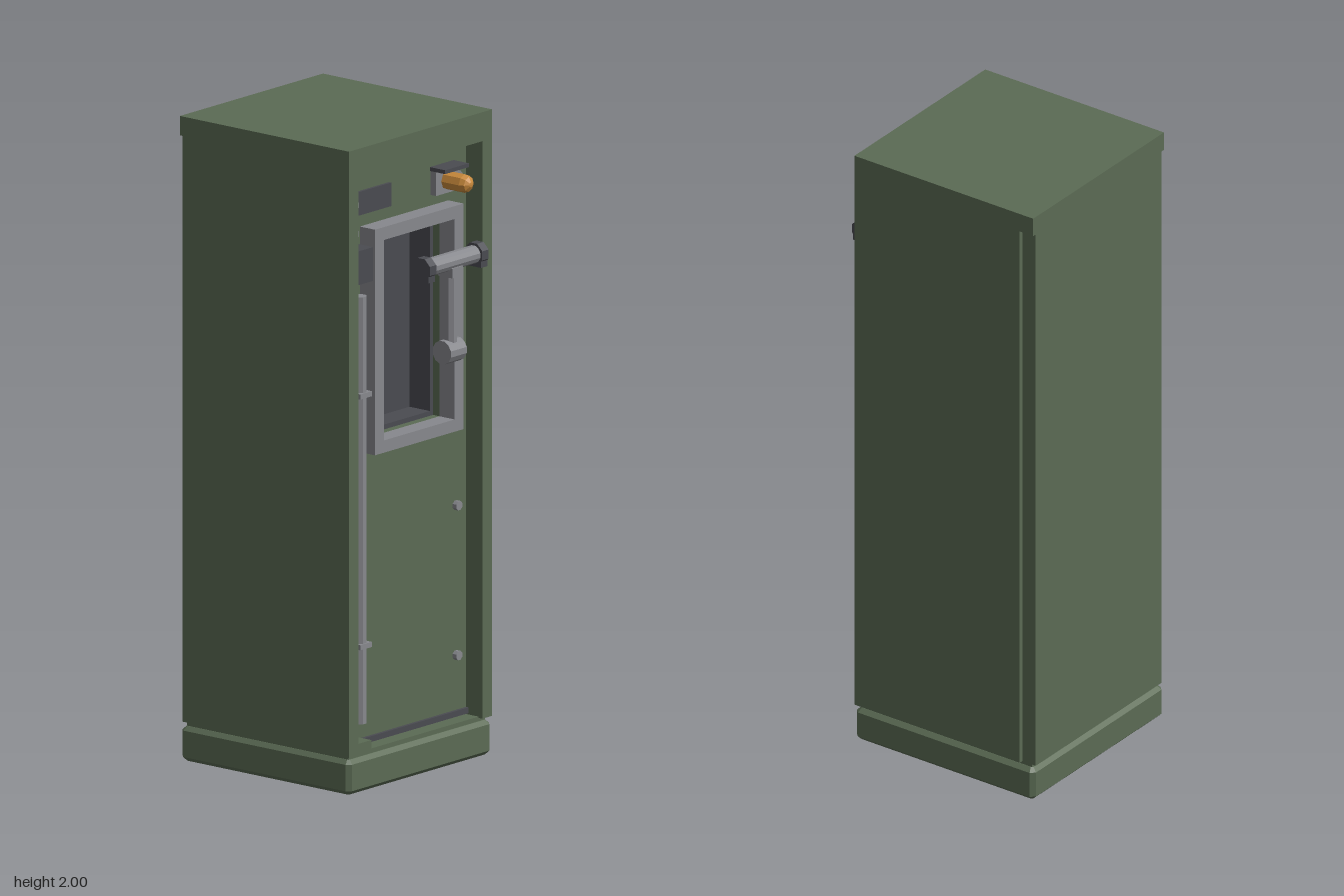
import * as THREE from 'three';

const mat = (name, color) => Object.assign(new THREE.MeshStandardMaterial({ color }), { name });

export function createModel() {
  const green = mat('cabinet green', 0x5b6b54);
  const steel = mat('light steel', 0x87888d);
  const dark = mat('dark grey', 0x4a4b51);
  const amber = mat('amber lamp', 0xc98a3c);

  const root = new THREE.Group();
  root.name = 'cabinet';

  const add = (name, geometry, material, parent = root) => {
    const m = new THREE.Mesh(geometry, material);
    m.name = name;
    parent.add(m);
    return m;
  };
  // Box given by its extents on each axis
  const box = (name, material, x0, x1, y0, y1, z0, z1, parent) => {
    const g = new THREE.BoxGeometry(x1 - x0, y1 - y0, z1 - z0);
    g.translate((x0 + x1) / 2, (y0 + y1) / 2, (z0 + z1) / 2);
    return add(name, g, material, parent);
  };
  // Faceted cylinder lying along an axis
  const cyl = (name, material, r, len, axis, x, y, z, sides = 8, parent = root) => {
    const g = new THREE.CylinderGeometry(r, r, len, sides).toNonIndexed();
    g.rotateY(Math.PI / sides);
    if (axis === 'x') g.rotateZ(Math.PI / 2);
    if (axis === 'z') g.rotateX(Math.PI / 2);
    g.computeVertexNormals();
    g.translate(x, y, z);
    return add(name, g, material, parent);
  };
  const outline = (pts) => pts.map(([x, y]) => new THREE.Vector2(x, y));
  const rect = (x0, x1, y0, y1) => outline([[x0, y0], [x1, y0], [x1, y1], [x0, y1]]);
  // Flat shape with an optional rectangular opening, extruded along z
  const plate = (name, material, pts, hole, z0, z1) => {
    const s = new THREE.Shape(pts);
    if (hole) s.holes.push(new THREE.Path(hole));
    const g = new THREE.ExtrudeGeometry(s, { depth: z1 - z0, bevelEnabled: false });
    g.translate(0, 0, z0);
    return add(name, g, material);
  };

  // Plinth with chamfered edges
  const c = 0.013, hx = 0.333 - c, hz = 0.333 - c, b = 0.006;
  const foot = new THREE.Shape(outline([
    [-hx + b, -hz], [hx - b, -hz], [hx, -hz + b], [hx, hz - b],
    [hx - b, hz], [-hx + b, hz], [-hx, hz - b], [-hx, -hz + b],
  ]));
  const plinth = new THREE.ExtrudeGeometry(foot, {
    depth: 0.108 - 2 * c, bevelEnabled: true, bevelSize: c, bevelThickness: c, bevelSegments: 1,
  });
  plinth.rotateX(-Math.PI / 2);
  plinth.translate(0, c, -0.0775);
  add('plinth', plinth, green);
  box('plinthGap', green, -0.318, 0.318, 0.1, 0.122, -0.395, 0.24);

  // Cabinet body: solid rear, front surround, narrower back panel under the lid
  box('body', green, -0.333, 0.333, 0.118, 2, -0.36, 0.05);
  plate('frontSurround', green, outline([
    [-0.333, 0.118], [-0.288, 0.118], [-0.288, 1.91], [0.288, 1.91],
    [0.288, 0.118], [0.333, 0.118], [0.333, 2], [-0.333, 2],
  ]), null, 0.05, 0.255);
  box('backPanel', green, -0.32, 0.32, 0.118, 1.94, -0.41, -0.36);
  box('lidRear', green, -0.333, 0.333, 1.94, 2, -0.41, -0.36);
  box('recessFloor', green, -0.288, 0.288, 0.112, 0.122, 0.05, 0.24);

  // Recessed door with a framed niche
  const niche = rect(-0.165, 0.165, 1.07, 1.692);
  plate('door', green, rect(-0.288, 0.288, 0.125, 1.91), niche, 0.165, 0.19);
  plate('nicheFrame', steel, rect(-0.206, 0.206, 1.032, 1.732), niche, 0.19, 0.25);
  plate('nicheWalls', dark, rect(-0.18, 0.18, 1.055, 1.707),
    rect(-0.15, 0.15, 1.085, 1.677), 0.08, 0.165);
  box('nicheBack', dark, -0.165, 0.165, 1.07, 1.692, 0.07, 0.085);
  box('doorSill', dark, -0.215, 0.288, 0.126, 0.144, 0.19, 0.2);

  // Fittings on the door
  box('labelPlate', dark, -0.245, -0.07, 1.77, 1.843, 0.19, 0.199);
  box('lockBox', dark, -0.285, -0.215, 1.575, 1.68, 0.19, 0.25);
  cyl('lockButton', steel, 0.022, 0.015, 'z', -0.245, 1.715, 0.195);
  for (const [x, y] of [[0.24, 1.805], [-0.24, 1.805], [0.24, 0.78], [0.24, 0.315],
    [-0.24, 0.78], [-0.24, 0.315]]) {
    cyl('screw', steel, 0.015, 0.02, 'z', x, y, 0.195);
  }

  // Vertical rod, clamps and foot
  cyl('rod', steel, 0.022, 1.325, 'y', -0.244, 0.8675, 0.222);
  for (const y of [1.225, 0.447]) {
    box('rodClamp', steel, -0.271, -0.217, y - 0.008, y + 0.008, 0.19, 0.247);
  }
  box('rodFoot', green, -0.277, -0.217, 0.122, 0.15, 0.19, 0.245);

  // Warning lamp with mount and hood
  box('lampMount', steel, 0.123, 0.228, 1.765, 1.84, 0.19, 0.212);
  box('lampHood', dark, 0.12, 0.231, 1.84, 1.852, 0.19, 0.25);
  const lampProfile = outline([[0.029, 0], [0.029, 0.07], [0.023, 0.086], [0.008, 0.095], [0, 0.096]]);
  const lamp = new THREE.LatheGeometry(lampProfile, 8).toNonIndexed();
  lamp.computeVertexNormals();
  lamp.rotateX(Math.PI / 2);
  lamp.translate(0.176, 1.805, 0.21);
  add('lamp', lamp, amber);

  // Handle standing in front of the niche
  const handle = new THREE.Group();
  handle.name = 'handle';
  root.add(handle);
  cyl('handleBar', steel, 0.028, 0.22, 'x', 0, 1.615, 0.373, 12, handle);
  for (const s of [-1, 1]) {
    cyl('handleCap', dark, 0.037, 0.03, 'x', s * 0.122, 1.615, 0.373, 8, handle);
    box('capLug', dark, s * 0.122 - 0.015, s * 0.122 + 0.015, 1.577, 1.61, 0.343, 0.403, handle);
  }
  box('handleCollar', steel, -0.025, 0.025, 1.57, 1.6, 0.345, 0.401, handle);
  cyl('handleStem', steel, 0.021, 0.24, 'y', 0, 1.465, 0.373, 8, handle);
  cyl('handleGrip', steel, 0.037, 0.074, 'x', 0, 1.337, 0.37, 12, handle);

  return root;
}
